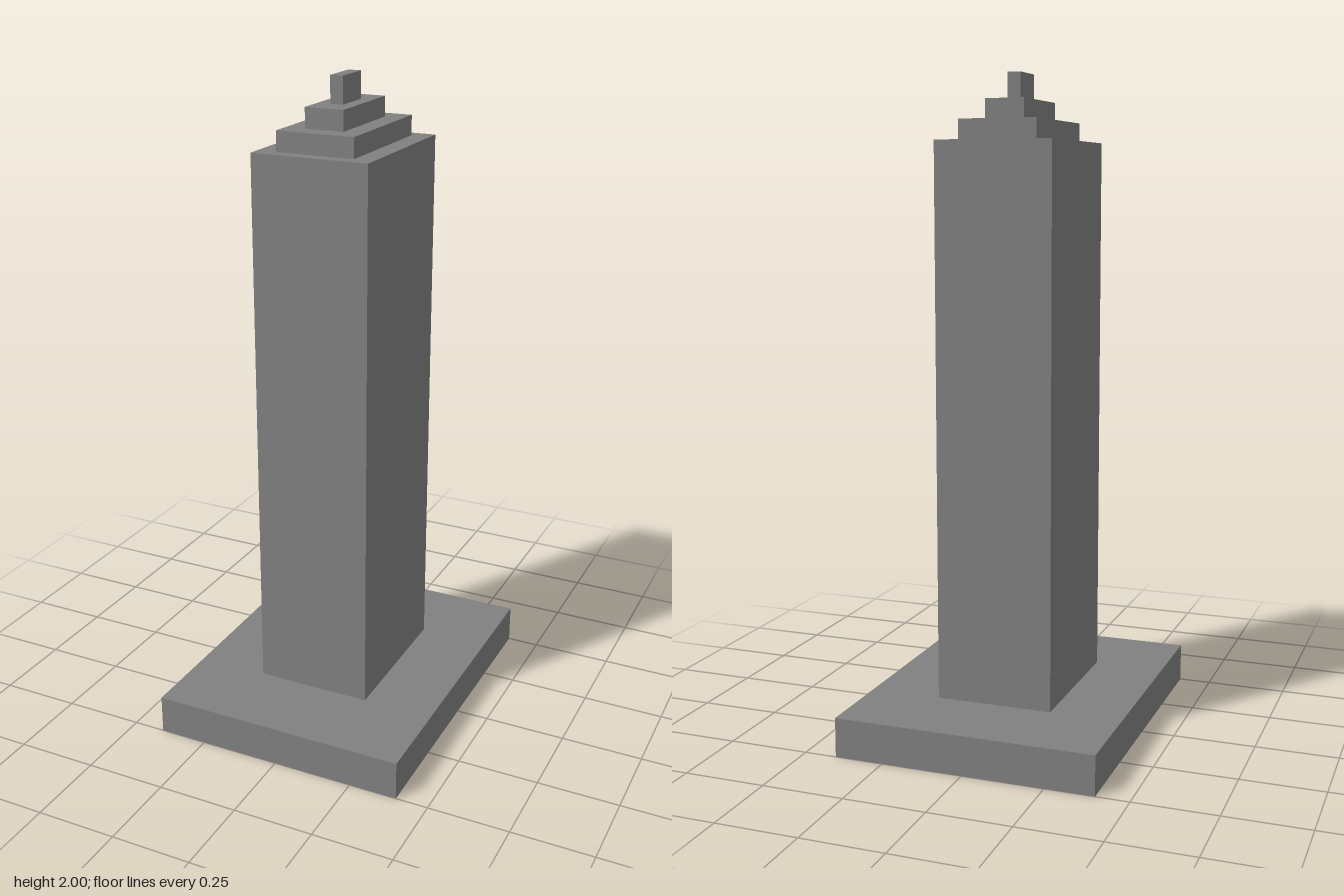
import * as THREE from 'three';

export function createModel() {
  const model = new THREE.Group();
  model.name = 'tower';
  const stone = new THREE.MeshStandardMaterial({ color: 0x808080 });
  stone.name = 'grey stone';

  // Stacked tiers, bottom to top: name, width, depth, height
  const tiers = [
    ['basePlinth', 0.8, 1.0, 0.12],
    ['towerShaft', 0.36, 0.48, 1.68],
    ['lowerRoofStep', 0.24, 0.4, 0.06],
    ['upperRoofStep', 0.12, 0.28, 0.06],
    ['roofFin', 0.04, 0.12, 0.08],
  ];

  let y = 0;
  for (const [name, width, depth, height] of tiers) {
    const tier = new THREE.Mesh(new THREE.BoxGeometry(width, height, depth), stone);
    tier.name = name;
    tier.position.y = y + height / 2;
    model.add(tier);
    y += height;
  }
  return model;
}
